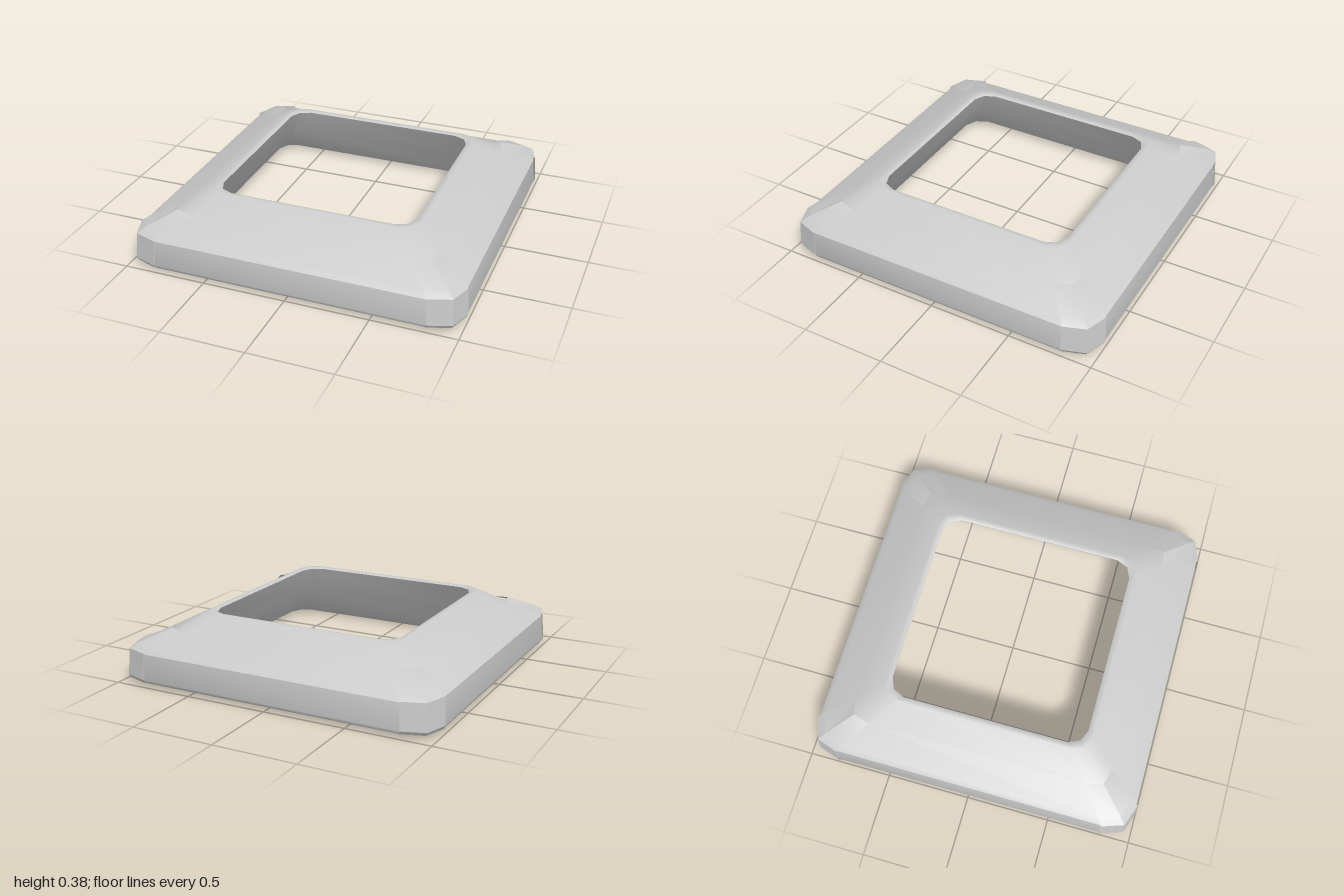
import * as THREE from 'three';
import { toCreasedNormals } from 'three/addons/utils/BufferGeometryUtils.js';

const material = new THREE.MeshStandardMaterial({ color: 0xcccccc, side: THREE.DoubleSide });

// Three points round one corner: half size s, corner cut c, middle point pulled in by m
const corner = (s, c, m, y) => [[s, y, s - c], [s - m, y, s - m], [s - c, y, s]];

// Repeats a corner four times to make a full square ring
function ring(s, c, m, y) {
  const points = [];
  for (let k = 0; k < 4; k++) {
    const cos = Math.round(Math.cos(k * Math.PI / 2)), sin = Math.round(Math.sin(k * Math.PI / 2));
    for (const [x, h, z] of corner(s, c, m, y)) points.push([x * cos - z * sin, h, x * sin + z * cos]);
  }
  return points;
}

// Skins neighbouring rows of points
function loft(rows, closed, crease) {
  const n = rows[0].length, index = [];
  for (let i = 0; i < rows.length - 1; i++) {
    for (let j = 0; j < (closed ? n : n - 1); j++) {
      const a = i * n + j, b = i * n + (j + 1) % n;
      index.push(a, b, a + n, b, b + n, a + n);
    }
  }
  const geometry = new THREE.BufferGeometry();
  geometry.setAttribute('position', new THREE.Float32BufferAttribute(rows.flat(2), 3));
  geometry.setIndex(index);
  return toCreasedNormals(geometry, crease);
}

function add(parent, name, geometry) {
  const mesh = new THREE.Mesh(geometry, material);
  mesh.name = name;
  parent.add(mesh);
  return mesh;
}

export function createModel() {
  const group = new THREE.Group();
  group.name = 'squareFrame';

  // Inner flare: from the lip at the foot up to the opening
  add(group, 'innerFlare', loft([
    ring(0.82, 0.11, 0.035, 0),
    ring(0.775, 0.11, 0.035, 0.03),
    ring(0.685, 0.105, 0.03, 0.2),
    ring(0.605, 0.1, 0.03, 0.365),
    ring(0.6, 0.1, 0.03, 0.378),
  ], true, 0.6));

  // Outer shell: rounded ridge, sloping top, side wall and bottom bevel
  add(group, 'outerShell', loft([
    ring(0.6, 0.1, 0.03, 0.378),
    ring(0.612, 0.1, 0.03, 0.385),
    ring(0.635, 0.1, 0.03, 0.385),
    ring(0.79, 0.13, 0.04, 0.285),
    ring(0.95, 0.165, 0.048, 0.222),
    ring(0.982, 0.175, 0.05, 0.197),
    ring(0.993, 0.18, 0.05, 0.04),
    ring(0.985, 0.18, 0.05, 0.024),
  ], true, 0.6));

  // Raised corner guards with a notched inner end
  const guard = loft([
    [[0.79, 0.29, 0.665], [0.765, 0.305, 0.765], [0.665, 0.29, 0.79]],
    corner(0.95, 0.167, 0.045, 0.235),
    corner(0.99, 0.177, 0.046, 0.204),
    corner(1, 0.18, 0.046, 0.045),
    corner(0.99, 0.18, 0.046, 0.024),
  ], false, 0.4);
  for (let k = 0; k < 4; k++) {
    add(group, 'cornerGuard' + (k + 1), guard).rotation.y = k * Math.PI / 2;
  }
  return group;
}
